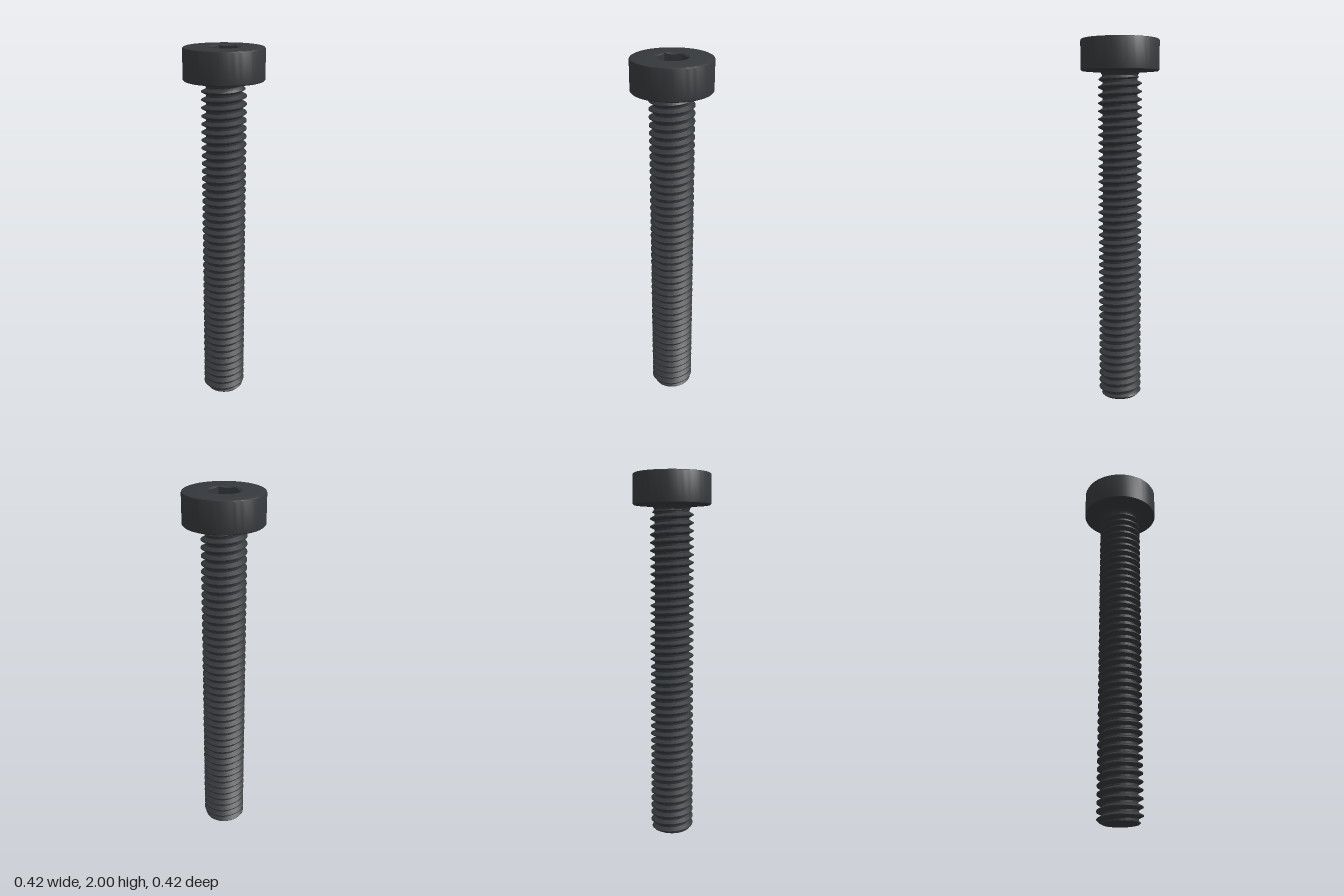
import * as THREE from 'three';
import { toCreasedNormals } from 'three/addons/utils/BufferGeometryUtils.js';

const SEGMENTS = 72;
const TOP = 2, HEAD_BASE = 1.833, HEAD_R = 0.212;
const PITCH = 0.0427, MAJOR = 0.119, MINOR = 0.094, PHASE = 0.0087;
const THREAD_END = 1.815;
const SOCKET_R = 0.0886, SOCKET_APOTHEM = 0.0767, SOCKET_DEPTH = 0.14;

const { clamp, lerp } = THREE.MathUtils;

// Skins rings of points; ring(i, angle) returns [radius, y]
function ringSurface(rows, ring, crease) {
  const positions = [], index = [];
  for (let i = 0; i < rows; i++) {
    for (let j = 0; j <= SEGMENTS; j++) {
      const a = (j / SEGMENTS) * Math.PI * 2;
      const [r, y] = ring(i, a);
      positions.push(r * Math.cos(a), y, -r * Math.sin(a));
    }
  }
  const vertex = (k) => new THREE.Vector3().fromArray(positions, k * 3);
  const addFace = (a, b, c) => {
    const [p, q, r] = [a, b, c].map(vertex);
    if (q.sub(p).cross(r.sub(p)).length() > 1e-9) index.push(a, b, c);
  };
  for (let i = 0; i < rows - 1; i++) {
    for (let j = 0; j < SEGMENTS; j++) {
      const a = i * (SEGMENTS + 1) + j, b = a + SEGMENTS + 1;
      addFace(a, a + 1, b + 1);
      addFace(a, b + 1, b);
    }
  }
  const geometry = new THREE.BufferGeometry();
  geometry.setAttribute('position', new THREE.Float32BufferAttribute(positions, 3));
  geometry.setIndex(index);
  return toCreasedNormals(geometry, crease);
}

// Radius of the right-hand V thread, chamfered at the tip and fading out under the head
function threadRadius(y, a) {
  const u = (y - PHASE) / PITCH - a / (Math.PI * 2);
  const d = Math.abs(u - Math.round(u));
  const v = lerp(MAJOR, MINOR, clamp((d - 1 / 16) / (5 / 16), 0, 1));
  const fade = lerp(MAJOR, MINOR, clamp((y - 1.785) / 0.025, 0, 1));
  return Math.min(v, 0.1 + y, fade);
}

// Rows follow the helix so that crests and roots stay crisp
function threadGeometry() {
  const steps = [-1 / 16, 1 / 16, 0.17, 0.27, 0.375, 0.625, 0.73, 0.83];
  const turns = Math.ceil(THREAD_END / PITCH) + 3;
  return ringSurface(turns * steps.length + 1, (i, a) => {
    if (i === 0) return [0, 0]; // centre of the flat tip
    const k = i - 1;
    const turn = Math.floor(k / steps.length) - 2 + steps[k % steps.length];
    const y = clamp(PHASE + PITCH * (turn + a / (Math.PI * 2)), 0, THREAD_END);
    return [threadRadius(y, a), y];
  }, 0.5);
}

// Hexagonal socket with a conical lead-in, flat floor
function socketGeometry() {
  const side = Math.PI / 3;
  return ringSurface(4, (i, a) => {
    const hex = SOCKET_APOTHEM / Math.cos((a % side) - side / 2);
    if (i === 0) return [SOCKET_R, TOP];
    if (i === 1) return [hex, TOP - (SOCKET_R - hex) * 0.58];
    if (i === 2) return [hex, TOP - SOCKET_DEPTH];
    return [0, TOP - SOCKET_DEPTH];
  }, 0.4);
}

// Cap with softened rims, and the fillet that joins it to the shank
function headGeometry() {
  const points = [];
  for (let i = 0; i <= 6; i++) {
    const t = (i / 6) * Math.PI / 2;
    points.push([MINOR + 0.036 * (1 - Math.cos(t)), HEAD_BASE - 0.036 * (1 - Math.sin(t))]);
  }
  points.push(
    [HEAD_R - 0.005, HEAD_BASE], [HEAD_R, HEAD_BASE + 0.005],
    [HEAD_R, TOP - 0.009], [HEAD_R - 0.003, TOP - 0.003], [HEAD_R - 0.009, TOP],
    [SOCKET_R, TOP],
  );
  const profile = points.map(([x, y]) => new THREE.Vector2(x, y));
  return toCreasedNormals(new THREE.LatheGeometry(profile, SEGMENTS), 0.5);
}

export function createModel() {
  const group = new THREE.Group();
  group.name = 'socketHeadScrew';
  const material = new THREE.MeshStandardMaterial({ color: 0x36393c });
  const add = (name, geometry) => {
    const mesh = new THREE.Mesh(geometry, material);
    mesh.name = name;
    group.add(mesh);
  };
  add('head', headGeometry());
  add('hexSocket', socketGeometry());
  add('threadedShank', threadGeometry());
  return group;
}
